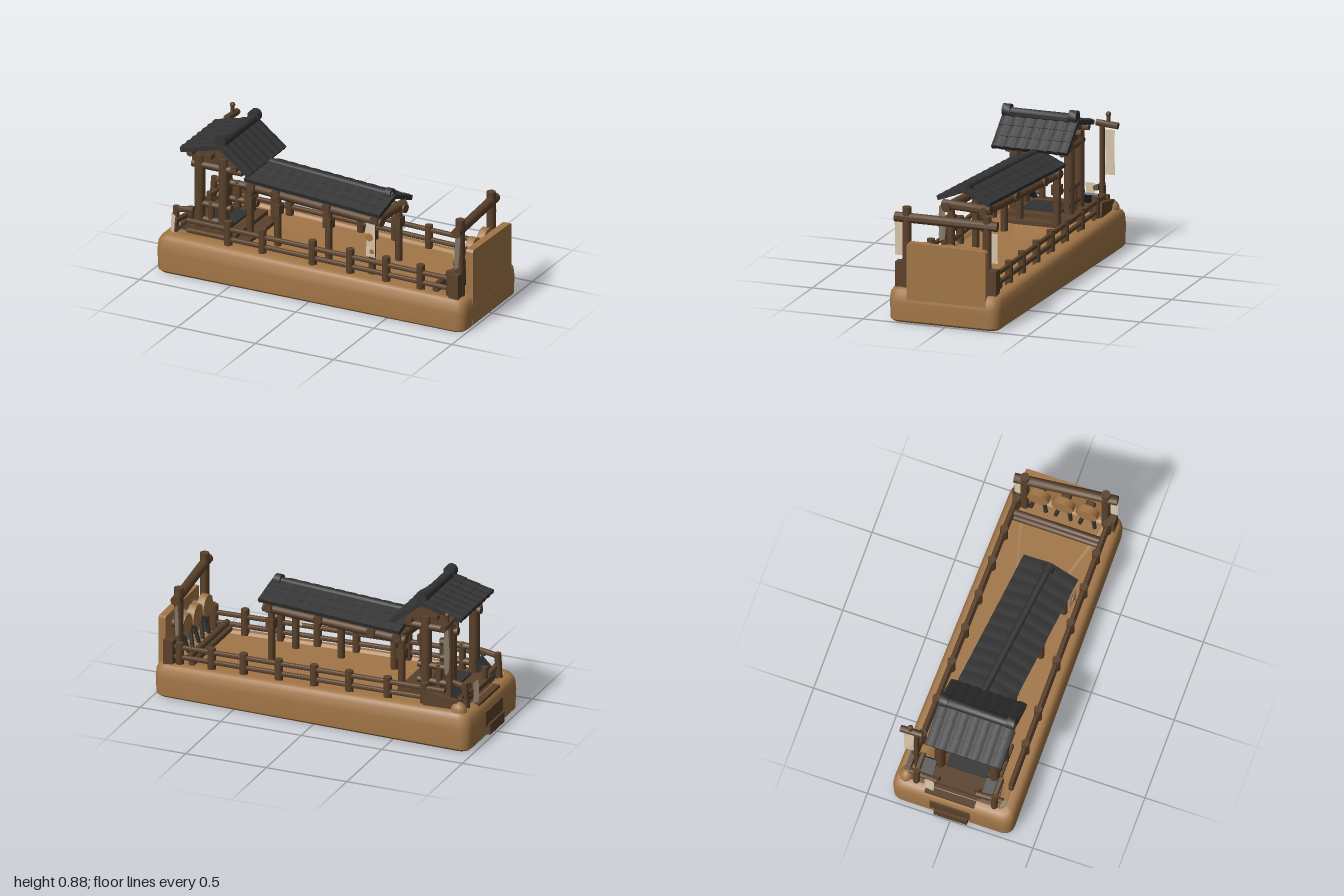
import * as THREE from 'three';
import { toCreasedNormals } from 'three/addons/utils/BufferGeometryUtils.js';

const mat = (name, color, side = THREE.FrontSide) => {
  const m = new THREE.MeshStandardMaterial({ color, side });
  m.name = name;
  return m;
};

export function createModel() {
  const sand = mat('sand', 0xa27647);
  const earth = mat('earth', 0x7c5a37);
  const wood = mat('wood', 0x5a412b);
  const slate = mat('slate', 0x333334);
  const cloth = mat('cloth', 0xdac8ac, THREE.DoubleSide);
  const emblem = mat('emblem', 0xa8743a);
  const root = new THREE.Group();
  root.name = 'pavilionBase';

  const group = (name, parent = root) => {
    const g = new THREE.Group();
    g.name = name;
    parent.add(g);
    return g;
  };
  const add = (parent, name, geo, material, x = 0, y = 0, z = 0) => {
    const m = new THREE.Mesh(geo, material);
    m.name = name;
    m.position.set(x, y, z);
    parent.add(m);
    return m;
  };
  const box = (parent, name, material, w, h, d, x, y, z) =>
    add(parent, name, new THREE.BoxGeometry(w, h, d), material, x, y, z);
  // round timber between two points
  const log = (parent, name, a, b, r, material = wood) => {
    const p = new THREE.Vector3(...a), q = new THREE.Vector3(...b), d = q.clone().sub(p);
    const geo = toCreasedNormals(new THREE.CylinderGeometry(r, r, d.length(), 10), 0.9);
    const m = add(parent, name, geo, material);
    m.position.copy(p).add(q).multiplyScalar(0.5);
    m.quaternion.setFromUnitVectors(new THREE.Vector3(0, 1, 0), d.normalize());
    return m;
  };
  const shape = (pts) => new THREE.Shape(pts.map((p) => new THREE.Vector2(...p)));

  // base: rounded outline stacked in rings, ending in a sunken floor
  const outline = (inset) => {
    const pts = [], r = 0.06 - inset * 0.4;
    const corners = [[1, 0.355], [-0.98, 0.365], [-0.98, -0.368], [1, -0.325]];
    corners.forEach(([cx, cz], i) => {
      const x = cx - Math.sign(cx) * (r + inset), z = cz - Math.sign(cz) * (r + inset);
      for (let k = 0; k <= 4; k++) {
        const a = i * Math.PI / 2 + k * Math.PI / 8;
        pts.push([x + Math.cos(a) * r, z + Math.sin(a) * r]);
      }
    });
    return pts;
  };
  const rings = [[0.02, 0], [0.004, 0.015], [0, 0.13], [0.005, 0.19], [0.018, 0.212], [0.035, 0.22], [0.065, 0.22], [0.08, 0.205]];
  const pos = [], idx = [], n = 20;
  rings.forEach(([inset, y]) => outline(inset).forEach(([x, z]) => {
    const endDip = Math.max(0, -x - 0.88) * 1.2;
    pos.push(x, y * (1 - 0.1 * x - endDip), z);
  }));
  for (let j = 0; j < rings.length - 1; j++) for (let i = 0; i < n; i++) {
    const a = j * n + i, b = j * n + (i + 1) % n, c = a + n, d = b + n;
    idx.push(a, c, b, b, c, d);
  }
  const top = pos.length / 3, last = (rings.length - 1) * n;
  pos.push(0, 0.21, 0);
  for (let i = 0; i < n; i++) idx.push(top, last + (i + 1) % n, last + i);
  const hull = new THREE.BufferGeometry();
  hull.setAttribute('position', new THREE.Float32BufferAttribute(pos, 3));
  hull.setIndex(idx);
  add(root, 'base', toCreasedNormals(hull, 0.7), sand);
  const underside = add(root, 'underside', new THREE.ShapeGeometry(shape(outline(0.02).map(([x, z]) => [x, z]))), earth);
  underside.rotation.x = Math.PI / 2;

  // fences along both long sides
  const fence = (name, z0, z1, posts, height) => {
    const g = group(name), zAt = (x) => z0 + (z1 - z0) * (x + 0.8) / 1.7;
    posts.forEach((x) => log(g, 'fencePost', [x, 0.18, zAt(x)], [x, height - 0.02 * x, zAt(x)], 0.024));
    for (const y of [0.255, 0.315])
      log(g, 'fenceRail', [-0.8, y + 0.015, zAt(-0.8)], [0.9, y - 0.015, zAt(0.9)], 0.015);
  };
  fence('frontFence', 0.295, 0.285, [-0.54, -0.32, 0, 0.24, 0.47, 0.69, 0.88], 0.365);
  fence('backFence', -0.285, -0.255, [-0.67, -0.44, -0.2, 0.02, 0.24, 0.46, 0.66, 0.86], 0.345);

  // hanging cloth: width runs along x, turned by ry
  const banner = (parent, w, h, x, y, z, ry = 0) => {
    const geo = new THREE.PlaneGeometry(w, h, 6, 8), p = geo.attributes.position;
    for (let i = 0; i < p.count; i++) p.setZ(i, 0.005 * Math.sin(p.getX(i) * 40 + p.getY(i) * 14));
    geo.computeVertexNormals();
    const m = add(parent, 'banner', geo, cloth, x, y, z);
    m.rotation.y = ry;
    return m;
  };

  // pitched roof with its ridge along local x; sides are [z offset, eave y]
  const tiledRoof = (parent, len, ridgeY, sides, waves, courses, wave) => {
    const g = group('roof', parent);
    sides.forEach(([w, eave]) => {
      const step = Math.hypot(w, ridgeY - eave) / courses;
      for (let c = 0; c < courses; c++) {
        const geo = new THREE.BoxGeometry(len, 0.026, step * 1.12, waves * 6, 1, 1);
        const p = geo.attributes.position;
        for (let i = 0; i < p.count; i++)
          p.setY(i, p.getY(i) + wave * (Math.abs(Math.sin((p.getX(i) / len + 0.5) * waves * Math.PI)) - 0.4));
        geo.computeVertexNormals();
        const t = (c + 0.5) / courses;
        const m = add(g, 'tileCourse', toCreasedNormals(geo, 0.8), slate, 0, ridgeY + (eave - ridgeY) * t, w * t);
        m.rotation.x = Math.sign(w) * (Math.atan2(ridgeY - eave, Math.abs(w)) - 0.04);
      }
    });
    return g;
  };

  // gate tower near the -x end
  const tower = group('tower');
  const roof = tiledRoof(tower, 0.46, 0.808, [[-0.25, 0.742], [0.18, 0.665]], 7, 3, 0.007);
  roof.position.set(-0.61, 0, 0.03);
  roof.rotation.y = Math.PI / 2;
  log(tower, 'towerRidge', [-0.61, 0.825, -0.19], [-0.61, 0.825, 0.24], 0.03, slate);
  for (const z of [-0.172, 0.232]) log(tower, 'ridgeCap', [-0.61, 0.838, z - 0.024], [-0.61, 0.838, z + 0.024], 0.037, slate);
  const gable = shape([[-0.82, 0.66], [-0.5, 0.64], [-0.5, 0.71], [-0.61, 0.805], [-0.82, 0.75]]);
  for (const z of [-0.14, 0.19]) {
    for (const x of [-0.775, -0.62]) log(tower, 'towerPost', [x, 0.2, z], [x, 0.71, z], 0.032);
    add(tower, 'gable', new THREE.ExtrudeGeometry(gable, { depth: 0.02, bevelEnabled: false }), wood, 0, 0, z - 0.01);
    log(tower, 'towerLintel', [-0.82, 0.645, z], [-0.5, 0.645, z], 0.024);
    for (const y of [0.31, 0.405]) log(tower, 'towerRail', [-0.77, y, z], [-0.57, y, z], 0.02);
    log(tower, 'cornerPost', [-0.7, 0.22, z], [-0.7, 0.42, z], 0.02);
  }
  for (const [x, y] of [[-0.81, 0.725], [-0.69, 0.72], [-0.53, 0.675]])
    log(tower, 'purlin', [x, y, -0.19], [x, y, 0.25], 0.02);
  box(tower, 'towerFloor', wood, 0.3, 0.05, 0.4, -0.68, 0.235, 0.02);
  box(tower, 'towerStep', wood, 0.1, 0.03, 0.36, -0.5, 0.222, 0.02);
  box(tower, 'floorSlab', slate, 0.18, 0.012, 0.24, -0.69, 0.266, 0.02);

  // covered walk, turned slightly
  const walk = group('coveredWalk');
  walk.position.set(-0.01, 0, 0.05);
  walk.rotation.y = -0.12;
  const walkRoof = tiledRoof(walk, 0.93, 0.652, [[-0.165, 0.585], [0.165, 0.585]], 12, 3, 0.003);
  walkRoof.position.x = -0.015;
  log(walk, 'walkRidge', [-0.46, 0.658, 0], [0.44, 0.658, 0], 0.021, slate);
  log(walk, 'ridgeNub', [0.39, 0.66, 0], [0.43, 0.66, 0], 0.034, slate);
  for (const s of [-1, 1]) {
    log(walk, 'walkBeam', [-0.5, 0.53, s * 0.12], [0.44, 0.53, s * 0.12], 0.027);
    for (const x of s > 0 ? [-0.47, -0.28, 0.07, 0.37] : [-0.47, 0.39]) {
      log(walk, 'walkPost', [x, 0.19, s * 0.12], [x, 0.53, s * 0.12], 0.022);
      box(walk, 'postBracket', wood, 0.05, 0.06, 0.05, x, 0.44, s * 0.12);
    }
  }
  for (const x of [-0.45, -0.28, 0.07, 0.4]) log(walk, 'crossBeam', [x, 0.54, -0.155], [x, 0.54, 0.155], 0.028);
  banner(walk, 0.065, 0.21, 0.39, 0.425, 0.168);
  for (const [y, x, r] of [[0.445, 0.385, 0.024], [0.36, 0.402, 0.014]]) {
    const spot = add(walk, 'bannerMark', new THREE.CylinderGeometry(r, r, 0.005, 10), emblem, x, y, 0.175);
    spot.rotation.x = Math.PI / 2;
  }

  // end wall, targets and banner frame at +x
  const end = group('targetEnd');
  const panel = shape([[-0.235, 0.02], [0.245, 0.02], [0.245, 0.46], [0.23, 0.468], [-0.225, 0.478], [-0.235, 0.465]]);
  const wall = add(end, 'endWall', new THREE.ExtrudeGeometry(panel, { depth: 0.045, bevelEnabled: false }), sand, 0.953, 0, 0);
  wall.rotation.y = Math.PI / 2;
  for (const z of [-0.13, 0.02, 0.165]) {
    log(end, 'target', [0.865, 0.39, z], [0.91, 0.39, z], 0.066, sand);
    log(end, 'targetHub', [0.91, 0.39, z], [0.955, 0.39, z], 0.03);
    for (const s of [-1, 1]) log(end, 'targetLeg', [0.88, 0.2, z + s * 0.045], [0.91, 0.34, z + s * 0.02], 0.012, slate);
  }
  log(end, 'framePost', [0.93, 0.18, 0.26], [0.93, 0.67, 0.26], 0.027);
  log(end, 'framePost', [0.885, 0.18, -0.212], [0.885, 0.65, -0.212], 0.027);
  log(end, 'frameBeam', [0.937, 0.608, 0.33], [0.88, 0.59, -0.275], 0.029);
  banner(end, 0.06, 0.2, 0.935, 0.48, 0.302, Math.PI / 2);
  banner(end, 0.045, 0.18, 0.88, 0.46, -0.252, Math.PI / 2);
  for (const [y, x] of [[0.215, 0.785], [0.25, 0.8]]) log(end, 'sillLog', [x, y, -0.26], [x, y, 0.285], 0.02);
  for (const z of [0.3, -0.265]) box(end, 'cornerBlock', wood, 0.06, 0.16, 0.05, 0.92, 0.265, z);

  // tall sign post at the back corner
  const sign = group('signPost');
  log(sign, 'signPole', [-0.82, 0.19, -0.265], [-0.82, 0.75, -0.265], 0.016);
  log(sign, 'signArm', [-0.82, 0.755, -0.23], [-0.82, 0.745, -0.362], 0.02);
  log(sign, 'signFinial', [-0.82, 0.76, -0.303], [-0.82, 0.8, -0.303], 0.011);
  add(sign, 'finialTip', new THREE.SphereGeometry(0.016, 10, 8), wood, -0.82, 0.81, -0.303);
  banner(sign, 0.06, 0.27, -0.82, 0.585, -0.312, Math.PI / 2);
  const plank = box(sign, 'cornerPlank', wood, 0.2, 0.1, 0.03, -0.78, 0.255, -0.3);
  plank.rotation.z = 0.15;

  // entrance at -x
  const entry = group('entrance');
  box(entry, 'lowerStep', wood, 0.12, 0.065, 0.2, -0.94, 0.05, 0);
  box(entry, 'middleStep', wood, 0.13, 0.09, 0.24, -0.922, 0.12, -0.01);
  box(entry, 'upperStep', wood, 0.12, 0.09, 0.3, -0.9, 0.185, -0.02);
  box(entry, 'threshold', wood, 0.08, 0.06, 0.4, -0.855, 0.23, 0);
  for (const s of [-1, 1]) {
    const z = s * 0.235;
    log(entry, 'entryPost', [-0.915, 0.17, z], [-0.9, 0.375, z], 0.02);
    log(entry, 'innerPost', [-0.87, 0.18, s * 0.12], [-0.87, 0.33, s * 0.12], 0.02);
    log(entry, 'entryRail', [-0.91, 0.355, z], [-0.79, 0.375, z], 0.017);
    log(entry, 'entryBar', [-0.89, 0.28, s * 0.12], [-0.89, 0.3, s * 0.28], 0.016);
    const sheet = box(entry, 'slopedSlate', slate, 0.15, 0.015, 0.1, -0.845, 0.28, s * 0.2);
    sheet.rotation.z = 0.8;
  }
  banner(entry, 0.06, 0.17, -0.935, 0.275, -0.15, Math.PI / 2);
  const sideFlag = banner(entry, 0.045, 0.17, -0.9, 0.265, 0.285, -0.5);
  sideFlag.rotation.z = -0.15;
  const stone = add(entry, 'stone', new THREE.SphereGeometry(1, 10, 8), sand, -0.89, 0.228, -0.3);
  stone.scale.set(0.05, 0.055, 0.042);
  return root;
}
